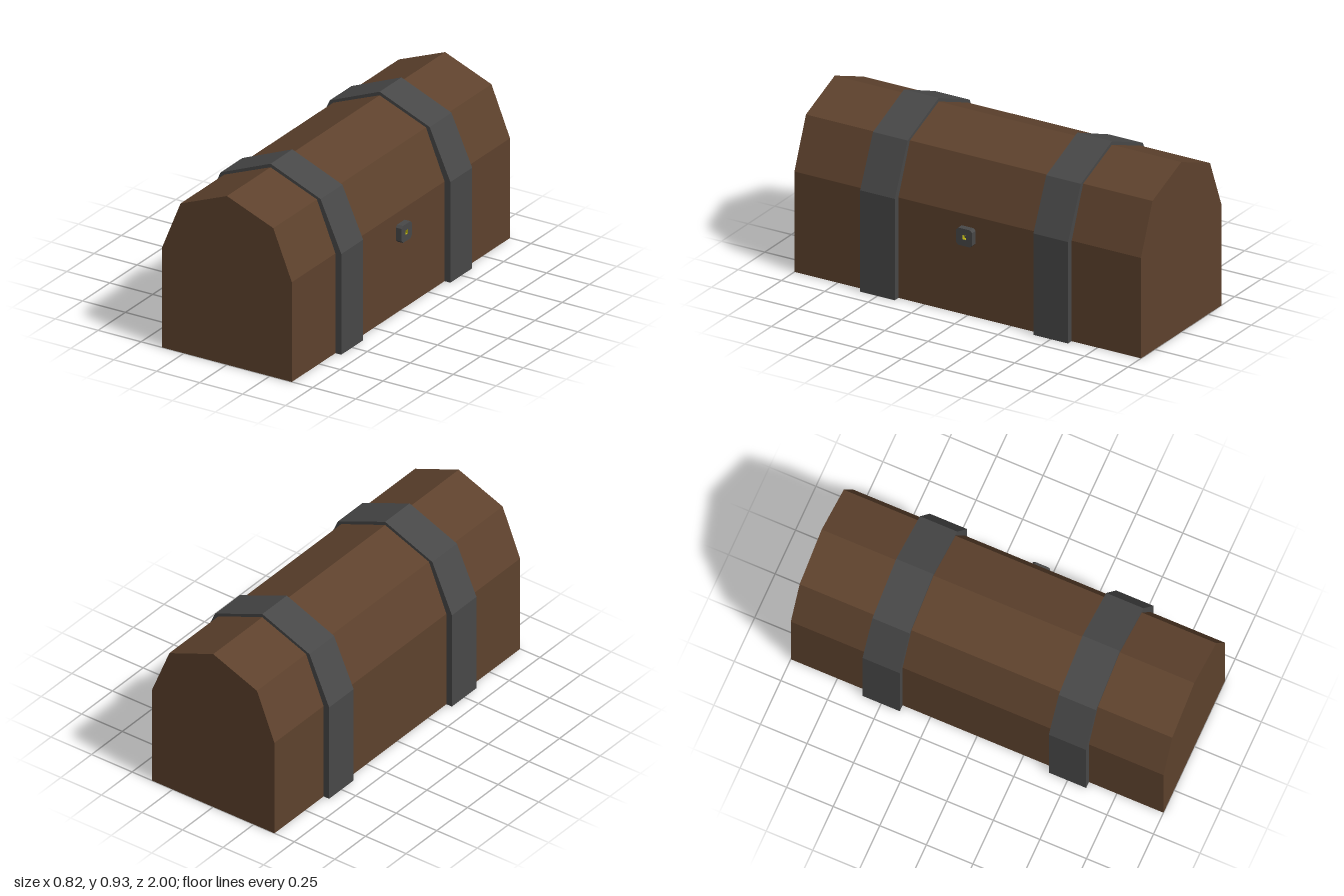
import * as THREE from 'three';

const wood = new THREE.MeshStandardMaterial({ color: 0x5e422d, flatShading: true });
const iron = new THREE.MeshStandardMaterial({ color: 0x484848, flatShading: true });
const brass = new THREE.MeshStandardMaterial({ color: 0xb8b010, flatShading: true, side: THREE.DoubleSide });

const SEAM = 0.54;

// Gambrel-shaped half profiles, from the right-hand base up to the ridge
const chestHalf = [[0.378, 0], [0.378, SEAM], [0.27, 0.806], [0, 0.913]];
const strapHalf = [[0.412, 0], [0.412, 0.545], [0.291, 0.813], [0, 0.932]];

// Full outline: the half profile followed by its mirror image
function mirrored(half) {
  const left = half.slice(0, -1).reverse().map(([x, y]) => [-x, y]);
  return [...half, ...left].map(([x, y]) => new THREE.Vector2(x, y));
}

// Prism along z, centred on z
function prism(points, depth, z = 0) {
  const geometry = new THREE.ExtrudeGeometry(new THREE.Shape(points), { depth, bevelEnabled: false });
  return geometry.translate(0, 0, z - depth / 2);
}

function add(group, name, geometry, material) {
  const mesh = new THREE.Mesh(geometry, material);
  mesh.name = name;
  group.add(mesh);
  return mesh;
}

// Octagonal lock plate with a square hole lined in brass
function createLock() {
  const lock = new THREE.Group();
  lock.name = 'lock';
  const r = 0.046, c = 0.034, h = 0.012, depth = 0.034;
  const plate = new THREE.Shape([
    [r, -c], [r, c], [c, r], [-c, r], [-r, c], [-r, -c], [-c, -r], [c, -r],
  ].map(([x, y]) => new THREE.Vector2(x, y)));
  plate.holes.push(new THREE.Path([
    [-h, -h], [-h, h], [h, h], [h, -h],
  ].map(([x, y]) => new THREE.Vector2(x, y))));
  add(lock, 'lockPlate', new THREE.ExtrudeGeometry(plate, { depth, bevelEnabled: false }), iron);

  // Brass lining, just inside the walls of the hole
  const lining = new THREE.CylinderGeometry((h - 0.001) * Math.SQRT2, (h - 0.001) * Math.SQRT2, depth - 0.002, 4, 1, true);
  lining.rotateY(Math.PI / 4).rotateX(Math.PI / 2).translate(0, 0, depth / 2);
  add(lock, 'keyholeLining', lining, brass);

  // Dark floor of the keyhole
  add(lock, 'keyholeFloor', new THREE.BoxGeometry(2 * h, 2 * h, 0.008).translate(0, 0, 0.008), iron);

  lock.rotation.y = Math.PI / 2;
  lock.position.set(0.378, 0.43, 0);
  return lock;
}

export function createModel() {
  const chest = new THREE.Group();
  chest.name = 'chest';

  // Box and lid
  add(chest, 'body', new THREE.BoxGeometry(0.756, SEAM, 2).translate(0, SEAM / 2, 0), wood);
  add(chest, 'lid', prism(mirrored(chestHalf.slice(1)), 2), wood);

  // Straps wrapping over the sides and lid
  const arch = [...mirrored(strapHalf), ...mirrored(chestHalf).reverse()];
  for (const z of [-0.5, 0.5]) {
    add(chest, z > 0 ? 'frontStrap' : 'backStrap', prism(arch, 0.2, z), iron);
  }

  chest.add(createLock());
  return chest;
}
